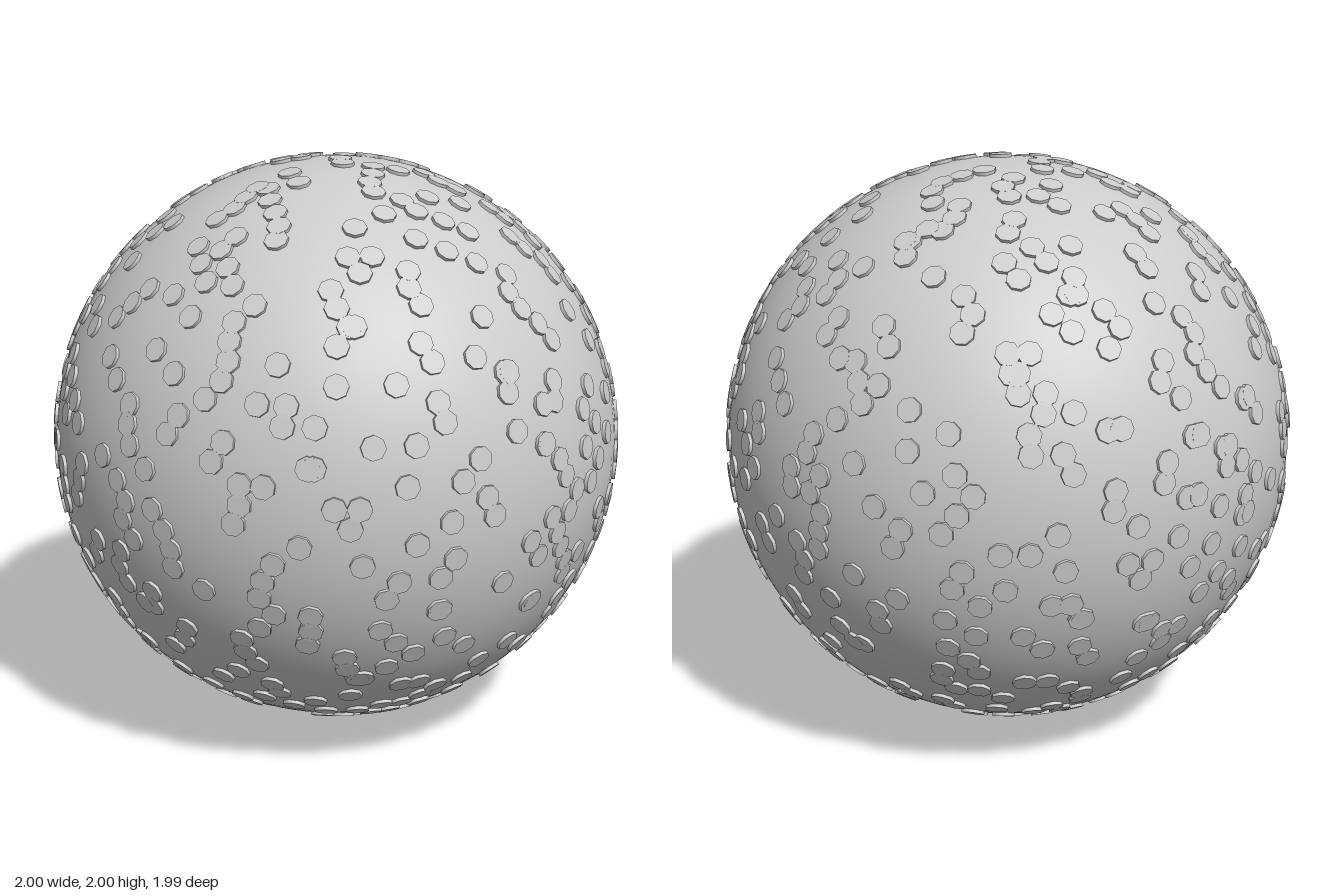
import * as THREE from 'three';
import { mergeGeometries } from 'three/addons/utils/BufferGeometryUtils.js';

const BALL_RADIUS = 0.987;
const DISC_RADIUS = 0.04;
const DISC_TOP = 0.997; // distance from the centre to a disc's outer face
const DISC_DEPTH = 0.02;
const ROWS = 50;
const DISCS_AT_EQUATOR = 23;

// Small seeded generator for a repeatable scatter
function seeded(seed) {
  return () => {
    seed = (seed + 0x6d2b79f5) | 0;
    let t = Math.imul(seed ^ (seed >>> 15), 1 | seed);
    t = (t + Math.imul(t ^ (t >>> 7), 61 | t)) ^ t;
    return ((t ^ (t >>> 14)) >>> 0) / 4294967296;
  };
}

// Flat eight-sided discs, set in rows of latitude with irregular spacing
function scatteredDiscs() {
  const random = seeded(17);
  const up = new THREE.Vector3(0, 1, 0);
  const disc = new THREE.CylinderGeometry(DISC_RADIUS, DISC_RADIUS, DISC_DEPTH, 8);
  disc.translate(0, DISC_TOP - DISC_DEPTH / 2, 0);
  const discs = [];
  for (let row = 1; row < ROWS; row++) {
    const polar = (row / ROWS) * Math.PI;
    const count = Math.round(DISCS_AT_EQUATOR * Math.sin(polar));
    const start = random() * Math.PI * 2;
    for (let i = 0; i < count; i++) {
      const around = start + ((i + random() * 1.2) / count) * Math.PI * 2;
      const normal = new THREE.Vector3().setFromSphericalCoords(1, polar, around);
      const turn = new THREE.Quaternion().setFromUnitVectors(up, normal);
      discs.push(disc.clone().applyQuaternion(turn));
    }
  }
  return mergeGeometries(discs);
}

export function createModel() {
  const model = new THREE.Group();
  model.name = 'studdedBall';
  const material = new THREE.MeshStandardMaterial({ color: 0xcccccc });

  // Smooth ball
  const ball = new THREE.Mesh(new THREE.SphereGeometry(BALL_RADIUS, 96, 64), material);
  ball.name = 'ball';

  // Discs covering its surface
  const discs = new THREE.Mesh(scatteredDiscs(), material);
  discs.name = 'surfaceDiscs';

  for (const part of [ball, discs]) {
    part.position.y = 1;
    model.add(part);
  }
  return model;
}
